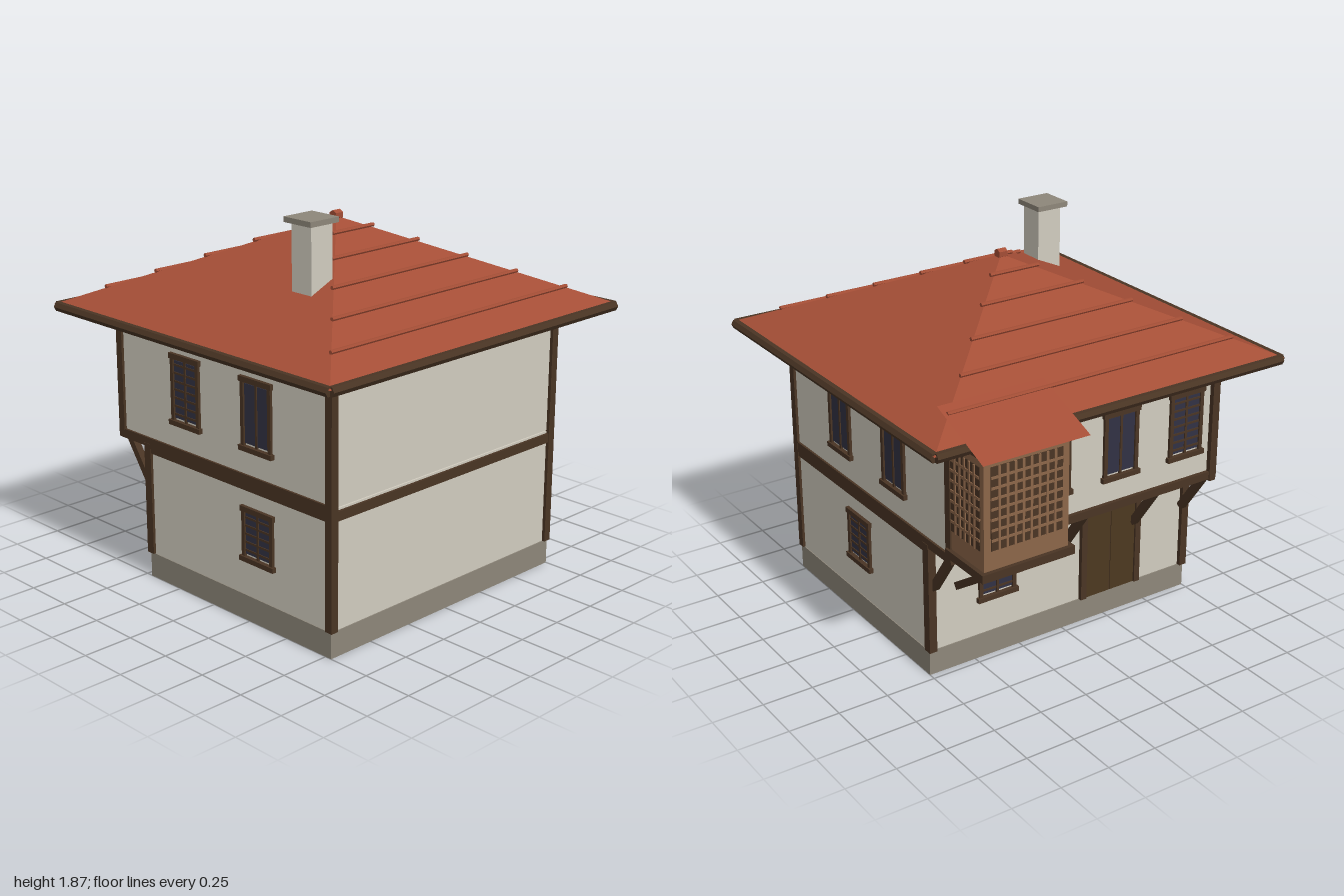
import * as THREE from 'three';

const mat = (name, color) => new THREE.MeshStandardMaterial({ name, color });

export function createModel() {
  const plaster = mat('plaster', 0xd2cdc0);
  const stone = mat('stone', 0x8e877a);
  const tile = mat('roofTile', 0xa44e36);
  const timber = mat('darkTimber', 0x4a3524);
  const wood = mat('lightWood', 0x8c6649);
  const glass = mat('glass', 0x323244);
  const doorWood = mat('doorWood', 0x4d3820);

  const model = new THREE.Group();
  model.name = 'house';

  const add = (parent, name, geo, material) => {
    const m = new THREE.Mesh(geo, material);
    m.name = name;
    parent.add(m);
    return m;
  };
  // box from its min and max on each axis
  const box = (parent, name, material, [x0, x1], [y0, y1], [z0, z1]) => {
    const m = add(parent, name, new THREE.BoxGeometry(x1 - x0, y1 - y0, z1 - z0), material);
    m.position.set((x0 + x1) / 2, (y0 + y1) / 2, (z0 + z1) / 2);
    return m;
  };
  const flat = (geo) => {
    const g = geo.toNonIndexed();
    g.computeVertexNormals();
    return g;
  };
  // six-sided bar lying along x or z
  const hexBar = (name, material, r, len, axis, x, y, z, start) => {
    const g = flat(new THREE.CylinderGeometry(r, r, len, 6, 1, false, start));
    if (axis === 'x') g.rotateZ(Math.PI / 2); else g.rotateX(Math.PI / 2);
    add(model, name, g, material).position.set(x, y, z);
  };

  // plinth and the two storeys; the upper one juts out at the back
  box(model, 'plinth', stone, [-0.75, 0.75], [0, 0.125], [-0.465, 0.785]);
  box(model, 'groundWalls', plaster, [-0.745, 0.745], [0.125, 0.7], [-0.46, 0.78]);
  box(model, 'upperWalls', plaster, [-0.745, 0.745], [0.705, 1.31], [-0.645, 0.78]);

  // corner posts and floor beams
  for (const s of [-1, 1]) {
    const px = [s * 0.738 - 0.02, s * 0.738 + 0.02];
    box(model, 'frontPost', timber, px, [0.125, 1.31], [0.755, 0.796]);
    box(model, 'groundBackPost', timber, px, [0.125, 0.69], [-0.481, -0.435]);
    box(model, 'upperBackPost', timber, px, [0.69, 1.31], [-0.67, -0.63]);
    box(model, 'sideBeam', timber, [s * 0.738 - 0.018, s * 0.738 + 0.018], [0.645, 0.72], [-0.47, 0.76]);
    box(model, 'sideJettyBeam', timber, [s * 0.738 - 0.018, s * 0.738 + 0.018], [0.675, 0.72], [-0.67, -0.47]);
  }
  box(model, 'frontBeam', timber, [-0.72, 0.72], [0.645, 0.69], [0.76, 0.793]);
  box(model, 'groundBackBeam', timber, [-0.72, 0.72], [0.645, 0.7], [-0.475, -0.45]);
  box(model, 'jettyEdgeBeam', timber, [-0.75, 0.75], [0.685, 0.725], [-0.665, -0.63]);

  // sloping struts, from (y0, z0) to (y1, z1)
  const strut = (name, x, y0, z0, y1, z1) => {
    const dy = y1 - y0, dz = z1 - z0;
    const m = add(model, name, new THREE.BoxGeometry(0.035, 0.035, Math.hypot(dy, dz)), timber);
    m.position.set(x, (y0 + y1) / 2, (z0 + z1) / 2);
    m.rotation.x = Math.atan2(-dy, dz);
  };
  for (const x of [-0.72, -0.42, 0, 0.36, 0.72]) {
    strut('jettyBrace', x, 0.46, -0.47, 0.69, -0.63);
    box(model, 'joist', timber, [x - 0.018, x + 0.018], [0.675, 0.71], [-0.64, -0.46]);
  }
  for (const x of [0.36, 0.53, 0.7]) strut('bayBrace', x, 0.545, -0.64, 0.72, -0.9);

  // windows, built facing +z and turned to their wall
  const windowUnit = (w, h, lattice, x, y, z, turn) => {
    const g = new THREE.Group();
    g.name = lattice ? 'latticeWindow' : 'window';
    const a = w / 2, b = h / 2, f = 0.02;
    box(g, 'pane', glass, [-a + f, a - f], [-b + f, b - f], [-0.002, 0.005]);
    for (const s of [-1, 1]) {
      const c = s * (a - f / 2);
      box(g, 'jamb', timber, [c - f / 2, c + f / 2], [-b, b], [-0.005, 0.014]);
    }
    box(g, 'mullion', timber, [-0.006, 0.006], [-b, b], [-0.002, 0.01]);
    box(g, 'lintel', timber, [-a - 0.007, a + 0.007], [b - 0.012, b + 0.014], [-0.005, 0.018]);
    box(g, 'sill', timber, [-a - 0.01, a + 0.01], [-b - 0.014, b * -1 + 0.01], [-0.005, 0.022]);
    if (lattice) {
      const n = Math.round(h / 0.04);
      for (let i = 1; i < n; i++) {
        const c = -b + (h * i) / n;
        box(g, 'latticeBar', timber, [-a + f, a - f], [c - 0.005, c + 0.005], [-0.002, 0.009]);
      }
    }
    g.position.set(x, y, z);
    g.rotation.y = turn;
    model.add(g);
  };
  const R = Math.PI / 2;
  const upperY = 1.01, lowerY = 0.433;
  windowUnit(0.197, 0.32, false, 0.745, upperY, 0.308, R);
  windowUnit(0.197, 0.32, false, 0.745, upperY, -0.185, R);
  windowUnit(0.205, 0.24, true, 0.745, lowerY, 0.16, R);
  windowUnit(0.197, 0.32, true, -0.745, upperY, -0.17, -R);
  windowUnit(0.197, 0.32, false, -0.745, upperY, 0.315, -R);
  windowUnit(0.205, 0.24, true, -0.745, lowerY, 0.315, -R);
  [0.2, -0.185, -0.57].forEach((x, i) => windowUnit(0.197, 0.32, i !== 1, x, upperY, -0.645, Math.PI));
  windowUnit(0.205, 0.24, true, 0.375, lowerY, -0.46, Math.PI);

  // double door in the back wall
  const door = new THREE.Group();
  door.name = 'door';
  door.position.set(-0.28, 0.125, -0.46);
  door.rotation.y = Math.PI;
  model.add(door);
  for (const s of [-1, 1]) {
    box(door, 'doorJamb', timber, [s * 0.162 - 0.016, s * 0.162 + 0.016], [0, 0.5], [-0.005, 0.022]);
    box(door, 'doorLeaf', doorWood, [s * 0.075 - 0.072, s * 0.075 + 0.072], [0, 0.47], [-0.005, 0.012]);
  }
  box(door, 'doorLintel', timber, [-0.185, 0.185], [0.47, 0.505], [-0.005, 0.024]);
  box(door, 'doorGap', timber, [-0.003, 0.003], [0, 0.47], [-0.005, 0.008]);

  // enclosed bay hung on the back
  box(model, 'bayBody', wood, [0.31, 0.75], [0.74, 1.3], [-0.925, -0.64]);
  box(model, 'bayFloor', timber, [0.285, 0.77], [0.715, 0.755], [-0.945, -0.645]);
  box(model, 'bayTopBeam', timber, [0.285, 0.77], [1.293, 1.317], [-0.957, -0.61]);
  const screen = (w, h, cols, rows, x, y, z, turn) => {
    const g = new THREE.Group();
    g.name = 'bayScreen';
    const a = w / 2, b = h / 2, t = 0.006;
    box(g, 'screenBack', timber, [-a, a], [-b, b], [-0.002, 0.004]);
    for (let i = 1; i < cols; i++) {
      const c = -a + (w * i) / cols;
      box(g, 'screenUpright', wood, [c - t, c + t], [-b, b], [0, 0.009]);
    }
    for (let i = 1; i < rows; i++) {
      const c = -b + (h * i) / rows;
      box(g, 'screenRail', wood, [-a, a], [c - t, c + t], [0, 0.008]);
    }
    g.position.set(x, y, z);
    g.rotation.y = turn;
    model.add(g);
  };
  screen(0.225, 0.395, 6, 8, 0.75, 1.047, -0.787, R);
  screen(0.37, 0.395, 9, 8, 0.53, 1.047, -0.925, Math.PI);

  // bay roof: a tiled sheet with a dark underside
  const slope = Math.atan2(0.14, 0.35), run = Math.hypot(0.14, 0.35);
  for (const [name, m, turn, lift] of [['bayRoof', tile, -R, 0.001], ['bayRoofUnderside', timber, R, -0.001]]) {
    const g = new THREE.PlaneGeometry(0.545, run);
    g.rotateX(turn);
    g.rotateX(-slope);
    add(model, name, g, m).position.set(0.5275, 1.37 + lift, -0.825);
  }

  // hipped main roof with soffit, eaves and tile battens
  const cz = 0.055;
  const pyramid = new THREE.ConeGeometry(Math.SQRT2, 0.425, 4);
  pyramid.rotateY(Math.PI / 4);
  pyramid.scale(0.957, 1, 0.933);
  add(model, 'roof', flat(pyramid), tile).position.set(0, 1.335 + 0.2125, cz);
  box(model, 'soffit', timber, [-0.945, 0.945], [1.306, 1.334], [cz - 0.92, cz + 0.92]);
  for (const s of [-1, 1]) {
    hexBar('eave', timber, 0.024, 1.89, 'x', 0, 1.325, cz + s * 0.921, 0);
    hexBar('eave', timber, 0.024, 1.84, 'z', s * 0.946, 1.325, cz, R);
    [0.11, 0.26, 0.425, 0.592, 0.757].forEach((d, i) => {
      const half = [0.135, 0.285, 0.447, 0.612, 0.782][i];
      hexBar('tileBatten', tile, 0.01, half * 2, 'x', 0, 1.766 - d * 0.4555, cz + s * d, 0);
    });
  }
  hexBar('roofCap', tile, 0.024, 0.046, 'x', 0, 1.766, cz, R);

  // chimney
  box(model, 'chimney', plaster, [-0.51, -0.38], [1.4, 1.85], [0.293, 0.417]);
  box(model, 'chimneyCap', stone, [-0.532, -0.36], [1.845, 1.87], [0.265, 0.437]);

  return model;
}
